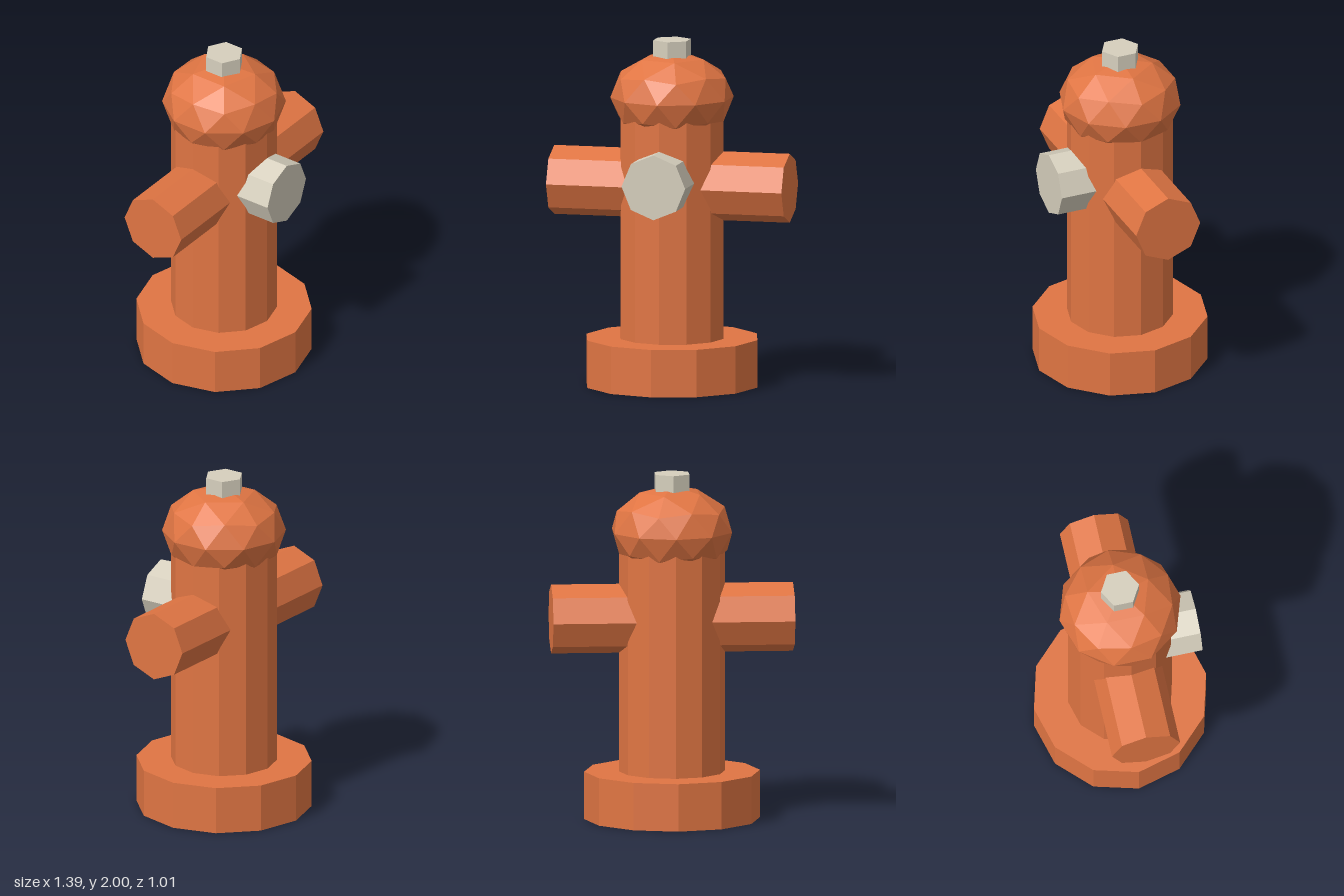
import * as THREE from 'three';

export function createModel() {
  const group = new THREE.Group();
  const orange = new THREE.MeshStandardMaterial({ color: 0xe07543, flatShading: true });
  const cream = new THREE.MeshStandardMaterial({ color: 0xd6cfbd, flatShading: true });

  const add = (name, geometry, material, x, y, z) => {
    const mesh = new THREE.Mesh(geometry, material);
    mesh.name = name;
    mesh.position.set(x, y, z);
    group.add(mesh);
    return mesh;
  };
  const prism = (radius, length, sides) => new THREE.CylinderGeometry(radius, radius, length, sides);

  // Foot and barrel
  add('base', prism(0.505, 0.275, 12), orange, 0, 0.1375, 0);
  add('barrel', prism(0.305, 1.45, 12), orange, 0, 0.955, 0);

  // Faceted cap: squashed icosphere standing on one of its corners
  const dome = new THREE.IcosahedronGeometry(1, 1)
    .rotateZ(Math.atan(2 / (1 + Math.sqrt(5))))
    .rotateY(Math.PI)
    .scale(0.355, 0.262, 0.355);
  add('cap', dome, orange, 0, 1.668, 0);
  add('topBolt', prism(0.112, 0.16, 6), cream, 0, 1.92, 0);

  // Side outlets, one on each side
  for (const side of [1, -1]) {
    const outlet = prism(0.2, 0.545, 8).rotateZ(Math.PI / 2);
    add(side > 0 ? 'leftOutlet' : 'rightOutlet', outlet, orange, side * 0.4225, 1.163, 0);
  }

  // Front nozzle
  add('frontNozzle', prism(0.188, 0.3, 8).rotateX(Math.PI / 2), cream, 0, 1.206, 0.294);

  return group;
}
